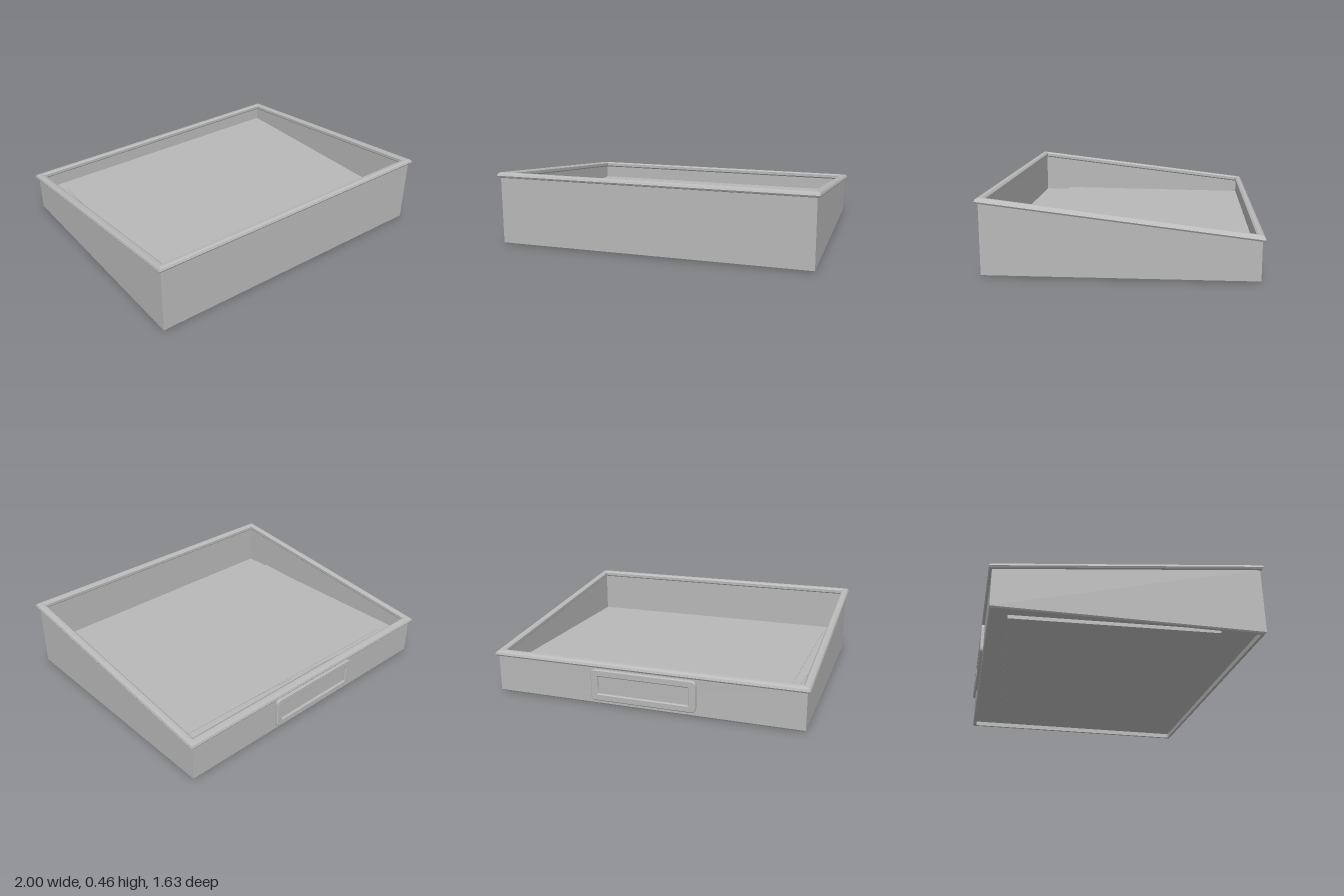
import * as THREE from 'three';

const HX = 0.98, HZ = 0.797;              // half extents of the outer walls
const slope = z => 0.33 + 0.118 * z;      // height of the sloping wall top

// Closed profile swept round the rectangular plan.
// Each point is [outward offset, height, height is measured from the slope]
function frame(profile) {
  const corners = [[1, 1], [1, -1], [-1, -1], [-1, 1]];
  const point = (c, p) => {
    const z = c[1] * (HZ + p[0]);
    return [c[0] * (HX + p[0]), p[1] + (p[2] ? slope(z) : 0), z];
  };
  const pos = [];
  corners.forEach((c0, i) => {
    const c1 = corners[(i + 1) % 4];
    profile.forEach((p0, j) => {
      const p1 = profile[(j + 1) % profile.length];
      const a = point(c0, p0), b = point(c1, p0), c = point(c1, p1), d = point(c0, p1);
      pos.push(...a, ...b, ...c, ...a, ...c, ...d);
    });
  });
  const g = new THREE.BufferGeometry();
  g.setAttribute('position', new THREE.Float32BufferAttribute(pos, 3));
  g.computeVertexNormals();
  return g;
}

// Rectangle with rounded corners, as a shape or a hole
function roundedRect(path, w, h, r) {
  const x = w / 2, y = h / 2;
  path.moveTo(-x + r, -y);
  path.lineTo(x - r, -y);
  path.quadraticCurveTo(x, -y, x, -y + r);
  path.lineTo(x, y - r);
  path.quadraticCurveTo(x, y, x - r, y);
  path.lineTo(-x + r, y);
  path.quadraticCurveTo(-x, y, -x, y - r);
  path.lineTo(-x, -y + r);
  path.quadraticCurveTo(-x, -y, -x + r, -y);
  return path;
}

export function createModel() {
  const model = new THREE.Group();
  model.name = 'slopedTray';
  const grey = new THREE.MeshStandardMaterial({ color: 0xb8b8b8 });
  grey.name = 'grey';

  const add = (name, geometry, x = 0, y = 0, z = 0, turn = 0) => {
    const mesh = new THREE.Mesh(geometry, grey);
    mesh.name = name;
    mesh.position.set(x, y, z);
    mesh.rotation.y = turn;
    model.add(mesh);
    return mesh;
  };
  // Flat slab given by its bottom and top heights
  const slab = (name, w, d, y0, y1, x = 0, z = 0, turn = 0) =>
    add(name, new THREE.BoxGeometry(w, y1 - y0, d), x, (y0 + y1) / 2, z, turn);

  // Walls with a small lip underneath
  add('walls', frame([
    [-0.006, 0], [0, 0.008], [0, 0.005, true], [-0.024, 0.005, true], [-0.024, 0]
  ]));

  // Thick rounded rim along the sloping wall top
  add('rim', frame([
    [-0.004, 0, true], [0.012, 0.004, true], [0.018, 0.014, true],
    [0.013, 0.027, true], [0, 0.036, true], [-0.02, 0.036, true],
    [-0.031, 0.027, true], [-0.031, 0.008, true], [-0.024, 0, true]
  ]));

  // Floor, with a panel below it
  slab('floor', 2 * HX - 0.046, 2 * HZ - 0.046, 0.03, 0.155);
  slab('underPanel', 1.735, 1.235, 0.008, 0.031, -0.015, -0.028, -0.05);

  // Loose stack of sheets
  slab('bottomSheet', 1.78, 1.41, 0.154, 0.166, 0, 0.035);
  slab('middleSheet', 1.755, 1.29, 0.165, 0.169, -0.04, -0.0125, -0.054);
  slab('topSheet', 1.73, 1.235, 0.168, 0.172, 0.016, -0.025, -0.0135);

  // Label holder on the back
  const outline = roundedRect(new THREE.Shape(), 0.66, 0.188, 0.025);
  outline.holes.push(roundedRect(new THREE.Path(), 0.59, 0.122, 0.012));
  const holder = new THREE.ExtrudeGeometry(outline, {
    depth: 0.016, bevelEnabled: true, bevelThickness: 0.004, bevelSize: 0.005,
    bevelSegments: 1, curveSegments: 4
  });
  add('labelHolder', holder, 0, 0.128, -HZ, Math.PI);
  add('label', new THREE.BoxGeometry(0.6, 0.13, 0.008), 0, 0.128, -HZ - 0.002);

  return model;
}
